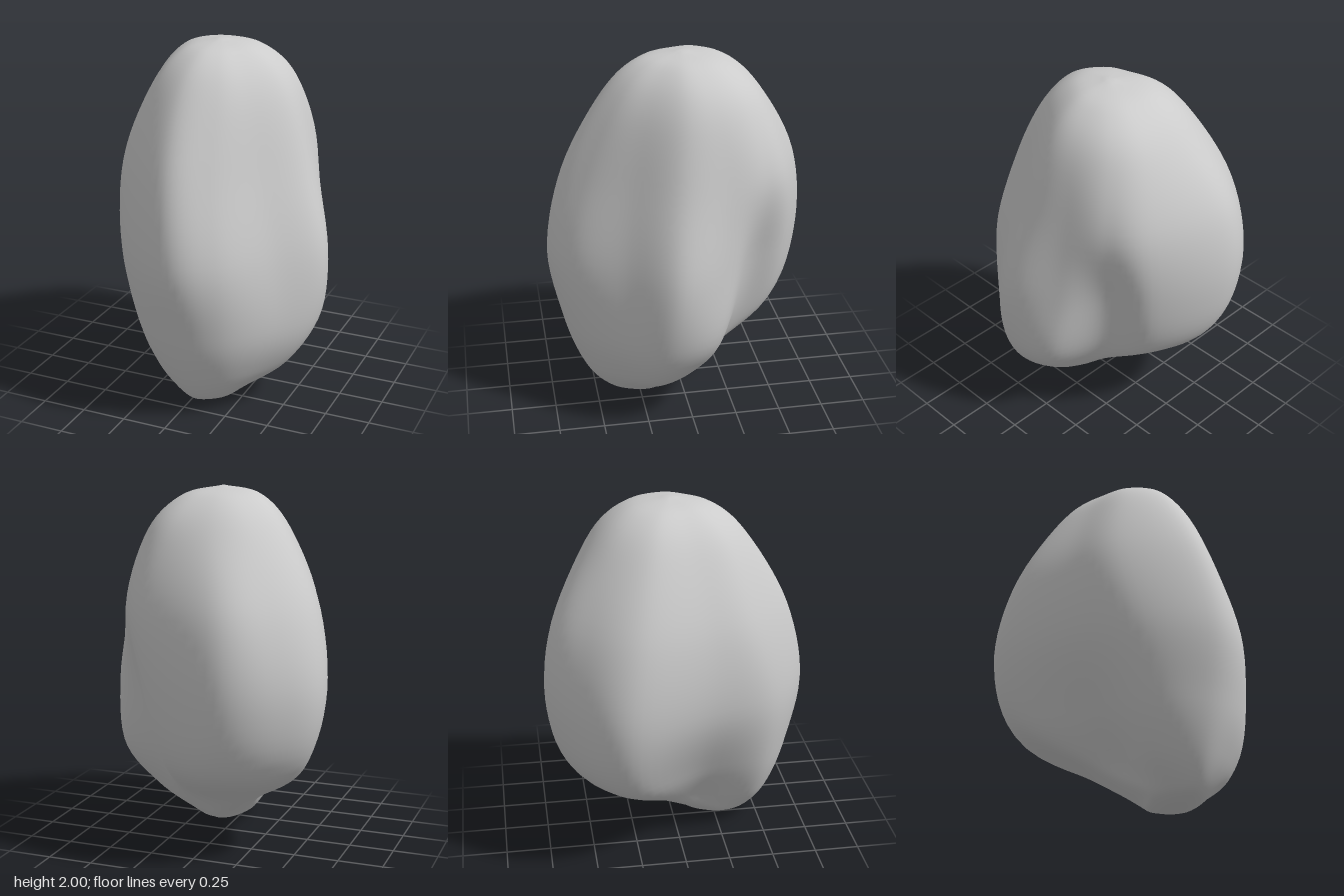
import * as THREE from 'three';
import { mergeVertices } from 'three/addons/utils/BufferGeometryUtils.js';

// Heights of the control sections, and the two poles of the stone
const HEIGHTS = [0.08, 0.24, 0.5, 0.9, 1.35, 1.75];
const BOTTOM = new THREE.Vector3(0.08, 0, 0.25);
const TOP = new THREE.Vector3(0, 2, -0.02);

// Ridges and hollows running from bottom to top: [x, z] at each height
const MERIDIANS = {
  frontRidge: [[0.05, 0.5], [0.02, 0.59], [0, 0.67], [-0.01, 0.74], [-0.05, 0.64], [-0.06, 0.42]],
  frontFlank: [[0.18, 0.44], [0.23, 0.53], [0.26, 0.61], [0.26, 0.64], [0.18, 0.54], [0.14, 0.36]],
  frontValley: [[0.25, 0.34], [0.39, 0.37], [0.49, 0.38], [0.47, 0.37], [0.36, 0.32], [0.27, 0.22]],
  sideRidge: [[0.28, 0.2], [0.49, 0.18], [0.63, 0.14], [0.66, 0.1], [0.53, 0.07], [0.39, 0.03]],
  sideEdge: [[0.24, 0.1], [0.42, 0], [0.57, -0.12], [0.55, -0.19], [0.5, -0.2], [0.39, -0.16]],
  backDent: [[0.17, 0.04], [0.27, -0.1], [0.3, -0.26], [0.35, -0.35], [0.42, -0.4], [0.32, -0.33]],
  backCorner: [[0.11, 0.02], [0.13, -0.16], [0.16, -0.47], [0.22, -0.57], [0.25, -0.57], [0.17, -0.44]],
  backRidge: [[0.05, 0.01], [-0.01, -0.19], [-0.14, -0.6], [-0.21, -0.735], [-0.2, -0.69], [-0.1, -0.47]],
  backSlope: [[-0.02, 0.06], [-0.15, -0.17], [-0.41, -0.5], [-0.52, -0.57], [-0.46, -0.53], [-0.29, -0.38]],
  farRidge: [[-0.07, 0.15], [-0.23, -0.03], [-0.55, -0.27], [-0.675, -0.31], [-0.61, -0.26], [-0.41, -0.18]],
  farHollow: [[-0.1, 0.27], [-0.19, 0.15], [-0.36, 0.11], [-0.52, 0.13], [-0.51, 0.12], [-0.36, 0.07]],
  frontShoulder: [[-0.07, 0.41], [-0.19, 0.44], [-0.28, 0.49], [-0.35, 0.51], [-0.38, 0.4], [-0.27, 0.28]],
};

// Extra point between a pole and the nearest section, to round the end
function capPoint(pole, point, ratio, y) {
  const p = pole.clone().lerp(point, ratio);
  p.y = y;
  return p;
}

function meridianCurve(pairs) {
  const points = pairs.map(([x, z], i) => new THREE.Vector3(x, HEIGHTS[i], z));
  return new THREE.CatmullRomCurve3([
    BOTTOM,
    capPoint(BOTTOM, points[0], 0.6, 0.024),
    ...points,
    capPoint(TOP, points[points.length - 1], 0.56, 1.943),
    TOP,
  ], false, 'catmullrom', 0.5);
}

// Skin the meridians with closed smooth rings
function stoneGeometry(rings, segments) {
  const curves = Object.values(MERIDIANS).map(meridianCurve);
  const positions = [];
  const index = [];
  for (let i = 0; i <= rings; i++) {
    const section = new THREE.CatmullRomCurve3(
      curves.map((curve) => curve.getPoint(i / rings)), true, 'catmullrom', 0.5);
    for (let j = 0; j < segments; j++) {
      const p = section.getPoint(j / segments);
      positions.push(p.x, THREE.MathUtils.clamp(p.y, 0, 2), p.z);
      if (i === rings) continue;
      const a = i * segments + j;
      const b = i * segments + (j + 1) % segments;
      // Single triangles at the poles, pairs elsewhere
      if (i > 0) index.push(a, b, b + segments);
      if (i < rings - 1) index.push(a, b + segments, a + segments);
    }
  }
  const geometry = new THREE.BufferGeometry();
  geometry.setAttribute('position', new THREE.Float32BufferAttribute(positions, 3));
  geometry.setIndex(index);
  const merged = mergeVertices(geometry, 1e-5);
  merged.computeVertexNormals();
  return merged;
}

export function createModel() {
  const model = new THREE.Group();
  model.name = 'rock';
  const stone = new THREE.Mesh(
    stoneGeometry(60, 96),
    new THREE.MeshStandardMaterial({ color: 0xcccccc }));
  stone.name = 'stone';
  model.add(stone);
  return model;
}
